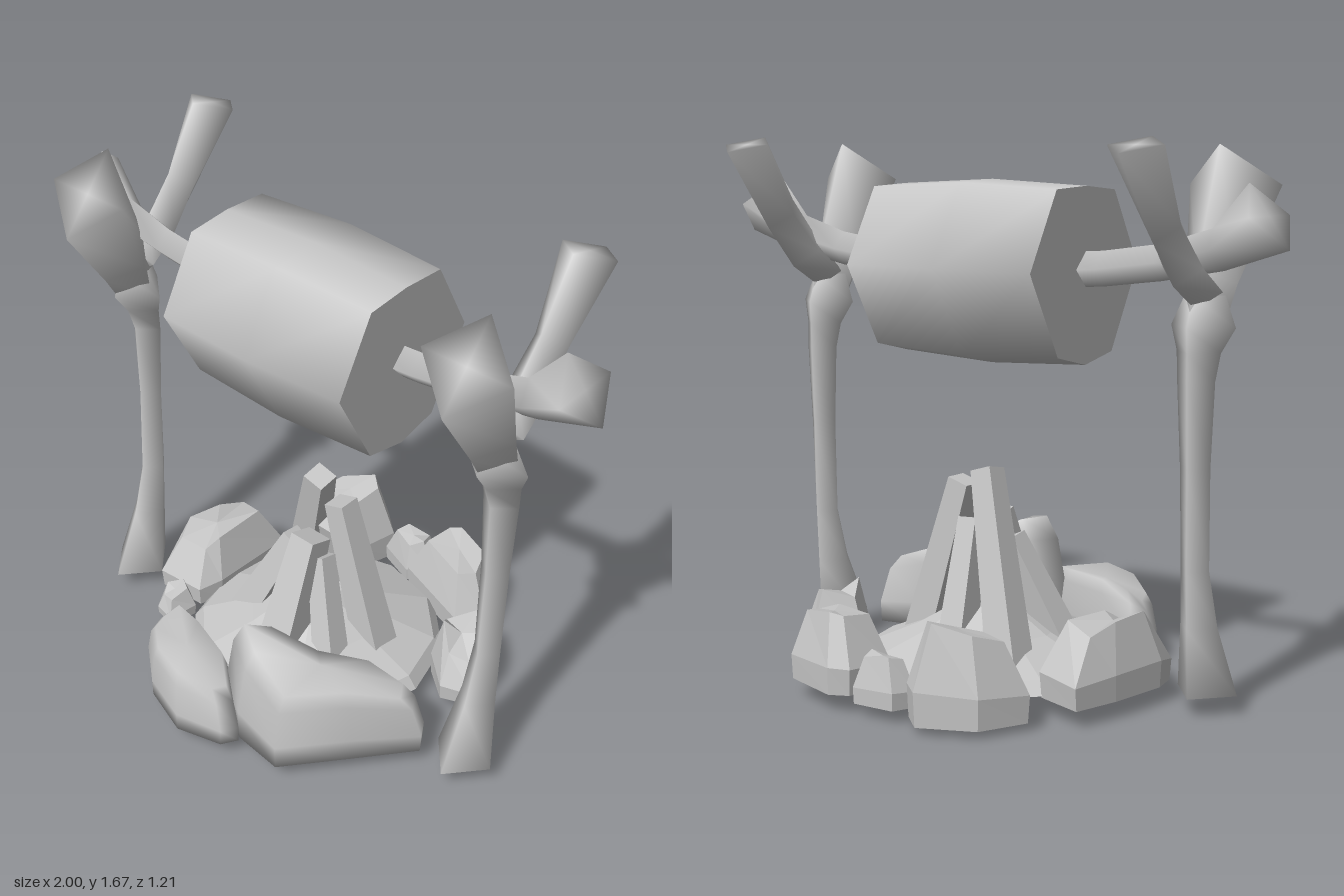
import * as THREE from 'three';

const grey = new THREE.MeshStandardMaterial({ color: 0xc6c6c6 });
grey.name = 'plain grey';

// Skin a list of equal-length point rings and close both ends.
// shading: 'flat', 'sides' (smooth wall, crisp ends) or 'smooth' (ends blended in).
function loft(rings, shading) {
  const n = rings[0].length, pos = [], idx = [];
  rings.forEach(r => r.forEach(p => pos.push(...p)));
  for (let i = 0; i + 1 < rings.length; i++) {
    for (let j = 0; j < n; j++) {
      const a = i * n + j, b = i * n + (j + 1) % n;
      idx.push(a, b, b + n, a, b + n, a + n);
    }
  }
  const cap = (k, flip) => {
    let base = k * n;
    if (shading !== 'smooth') {
      base = pos.length / 3;
      rings[k].forEach(p => pos.push(...p));
    }
    const hub = pos.length / 3;
    pos.push(...[0, 1, 2].map(d => rings[k].reduce((s, p) => s + p[d] / n, 0)));
    for (let j = 0; j < n; j++) {
      const a = base + j, b = base + (j + 1) % n;
      idx.push(hub, flip ? b : a, flip ? a : b);
    }
  };
  cap(0, true);
  cap(rings.length - 1, false);
  // Turn the faces outward if the volume comes out negative.
  const at = i => new THREE.Vector3().fromArray(pos, i * 3);
  let volume = 0;
  for (let i = 0; i < idx.length; i += 3) {
    volume += at(idx[i]).dot(at(idx[i + 1]).cross(at(idx[i + 2])));
  }
  if (volume < 0) idx.reverse();
  let geo = new THREE.BufferGeometry();
  geo.setAttribute('position', new THREE.Float32BufferAttribute(pos, 3));
  geo.setIndex(idx);
  if (shading === 'flat') geo = geo.toNonIndexed();
  geo.computeVertexNormals();
  return geo;
}

// Elliptical section: centre c, half axes u and v.
const section = (c, u, v, n = 4) => Array.from({ length: n }, (_, i) => {
  const a = (i / n) * Math.PI * 2;
  return c.map((x, k) => x + u[k] * Math.cos(a) + v[k] * Math.sin(a));
});

function add(parent, name, geo) {
  const mesh = new THREE.Mesh(geo, grey);
  mesh.name = name;
  parent.add(mesh);
}

// Stone from a plan outline of [x, z, height]; levels are [plan scale, height share].
function stone(outline, y0, levels, shading) {
  const cx = outline.reduce((s, p) => s + p[0], 0) / outline.length;
  const cz = outline.reduce((s, p) => s + p[1], 0) / outline.length;
  return loft(levels.map(([s, t]) => outline.map(([x, z, h]) =>
    [cx + (x - cx) * s, y0 + (h - y0) * t, cz + (z - cz) * s])), shading);
}

// Square log from its top a to its foot b.
function log(a, b, width) {
  const top = new THREE.Vector3(...a), foot = new THREE.Vector3(...b);
  const geo = new THREE.CylinderGeometry(width * 0.55, width * 0.8, top.distanceTo(foot), 4);
  geo.rotateY(Math.PI / 4);
  const flat = geo.toNonIndexed();
  flat.computeVertexNormals();
  const dir = top.clone().sub(foot).normalize();
  flat.applyQuaternion(new THREE.Quaternion().setFromUnitVectors(new THREE.Vector3(0, 1, 0), dir));
  flat.translate(...top.add(foot).multiplyScalar(0.5).toArray());
  return flat;
}

function createModel() {
  const model = new THREE.Group();
  model.name = 'campfireSpit';

  // Forked bone posts: [y, z, half width x, half depth z]
  const shaft = [
    [0.07, 0.095, 0.1, 0.115], [0.28, 0.04, 0.062, 0.07], [0.45, 0.012, 0.047, 0.05],
    [0.75, 0.003, 0.05, 0.046], [1.0, 0.0, 0.062, 0.052], [1.08, 0.012, 0.072, 0.065],
    [1.15, 0.035, 0.105, 0.092], [1.24, 0.045, 0.065, 0.07],
  ];
  for (const side of [-1, 1]) {
    const post = new THREE.Group();
    post.name = side > 0 ? 'leftPost' : 'rightPost';
    post.position.x = side * 0.71;
    add(post, 'shaft', loft(shaft.map(([y, z, rx, rz]) =>
      section([0, y, z], [rx, 0, 0], [0, 0, rz])), 'smooth'));
    add(post, 'frontProng', loft([
      section([0, 1.15, 0.03], [0.07, 0, 0], [0, -0.01, 0.08]),
      section([0, 1.27, 0.075], [0.085, 0, 0], [0, -0.045, 0.085]),
      section([0, 1.545, 0.205], [0.15, 0, 0], [0, -0.115, 0.095]),
    ], 'smooth'));
    add(post, 'backProng', loft([
      section([0, 1.25, 0.02], [0.07, 0, 0], [0, 0.05, 0.03]),
      section([0, 1.32, -0.08], [0.065, 0, 0], [0, 0.05, 0.05]),
      section([0, 1.44, -0.185], [0.055, 0, 0], [0, 0.045, 0.055]),
      section([0, 1.657, -0.333], [0.09, 0, 0], [0, 0.023, 0.083]),
    ], 'smooth'));
    model.add(post);
  }

  // Sagging spit bone with flared ends
  const half = [
    [0.2, 1.29, 0, 0.052, 0.05], [0.4, 1.302, 0, 0.052, 0.05], [0.6, 1.328, 0, 0.053, 0.05],
    [0.78, 1.37, 0.02, 0.058, 0.06], [0.936, 1.465, 0.064, 0.09, 0.118],
  ];
  const barRing = s => ([x, y, dx, dy, rz]) =>
    section([s * x, y, -0.01], [-s * dx, dy, 0], [0, 0, rz]);
  add(model, 'spitBar', loft(
    [...half.slice().reverse().map(barRing(-1)), ...half.map(barRing(1))], 'smooth'));

  // Eight-sided barrel of meat: section points [z, y] about its axis
  const drum = [[0.297, 0.02], [0.16, 0.262], [0, 0.276], [-0.16, 0.268],
    [-0.297, 0.02], [-0.15, -0.245], [0, -0.28], [0.15, -0.25]];
  add(model, 'roast', loft([[-0.34, 0.94], [0, 1], [0.34, 0.94]].map(([x, s]) =>
    drum.map(([z, y]) => [x, 1.28 + y * s, z * s - 0.01])), 'sides'));

  // Ash bed
  add(model, 'ashBed', loft([[0.42, 0.07], [0.39, 0.11], [0.22, 0.18], [0.08, 0.26]].map(([r, y]) =>
    section([0, y, -0.03], [r, 0, 0], [0, 0, r], 12)), 'flat'));

  // Leaning logs: top, foot, width
  [
    [[-0.025, 0.68, -0.07], [-0.22, 0.045, -0.2], 0.095],
    [[0.07, 0.635, -0.06], [0.25, 0.045, -0.06], 0.095],
    [[0.025, 0.525, 0.03], [0.01, 0.045, 0.19], 0.115],
    [[-0.06, 0.46, 0.0], [-0.25, 0.05, 0.08], 0.09],
    [[0.03, 0.52, -0.07], [0.0, 0.028, -0.22], 0.085],
    [[0.06, 0.46, 0.02], [0.2, 0.055, 0.12], 0.08],
  ].forEach(([a, b, w], i) => add(model, `log${i + 1}`, log(a, b, w)));

  // Two big rounded hearth stones at the front
  const rounded = [[0.99, 0], [1, 0.3], [0.9, 0.8], [0.78, 1]];
  add(model, 'frontRightStone', stone([
    [-0.36, 0.35, 0.22], [-0.32, 0.3, 0.26], [-0.18, 0.33, 0.27], [0.02, 0.4, 0.27], [0.15, 0.51, 0.25],
    [0.12, 0.56, 0.25], [-0.03, 0.6, 0.27], [-0.2, 0.54, 0.26], [-0.33, 0.43, 0.23]], 0.065, rounded, 'smooth'));
  add(model, 'frontLeftStone', stone([
    [0.02, 0.43, 0.44], [0.1, 0.36, 0.43], [0.26, 0.27, 0.36], [0.42, 0.15, 0.33], [0.57, 0.12, 0.29],
    [0.6, 0.17, 0.27], [0.46, 0.34, 0.32], [0.31, 0.52, 0.33], [0.14, 0.5, 0.42]], 0.065, rounded, 'smooth'));

  // Smaller faceted stones round the sides and back
  const faceted = [[0.97, 0], [1, 0.35], [0.62, 1]];
  const stones = {
    leftStone: [[[0.35, -0.22, 0.24], [0.46, -0.34, 0.27], [0.57, -0.25, 0.25], [0.6, -0.09, 0.2],
      [0.5, -0.05, 0.22], [0.4, -0.13, 0.29]], 0.065],
    backLeftStone: [[[0.07, -0.42, 0.28], [0.1, -0.57, 0.29], [0.16, -0.6, 0.3], [0.36, -0.54, 0.28],
      [0.41, -0.4, 0.26], [0.35, -0.32, 0.27]], 0.065],
    backStone: [[[-0.09, -0.5, 0.19], [-0.06, -0.57, 0.2], [0.08, -0.58, 0.19], [0.1, -0.5, 0.2],
      [0.04, -0.45, 0.18]], 0.05],
    backRightStone: [[[-0.41, -0.38, 0.27], [-0.34, -0.53, 0.3], [-0.17, -0.61, 0.33], [-0.09, -0.54, 0.32],
      [-0.13, -0.4, 0.29], [-0.27, -0.35, 0.28]], 0.035],
    rightStone: [[[-0.51, -0.3, 0.26], [-0.35, -0.25, 0.29], [-0.36, 0.05, 0.28], [-0.39, 0.13, 0.25],
      [-0.56, 0.14, 0.25], [-0.58, 0.05, 0.3], [-0.55, -0.15, 0.29]], 0.065],
    smallRightStone: [[[-0.5, 0.19, 0.16], [-0.44, 0.13, 0.17], [-0.37, 0.17, 0.17], [-0.39, 0.27, 0.15],
      [-0.47, 0.25, 0.14]], 0.065],
  };
  for (const [name, [outline, y0]] of Object.entries(stones)) {
    add(model, name, stone(outline, y0, faceted, 'flat'));
  }

  return model;
}

export { createModel };
